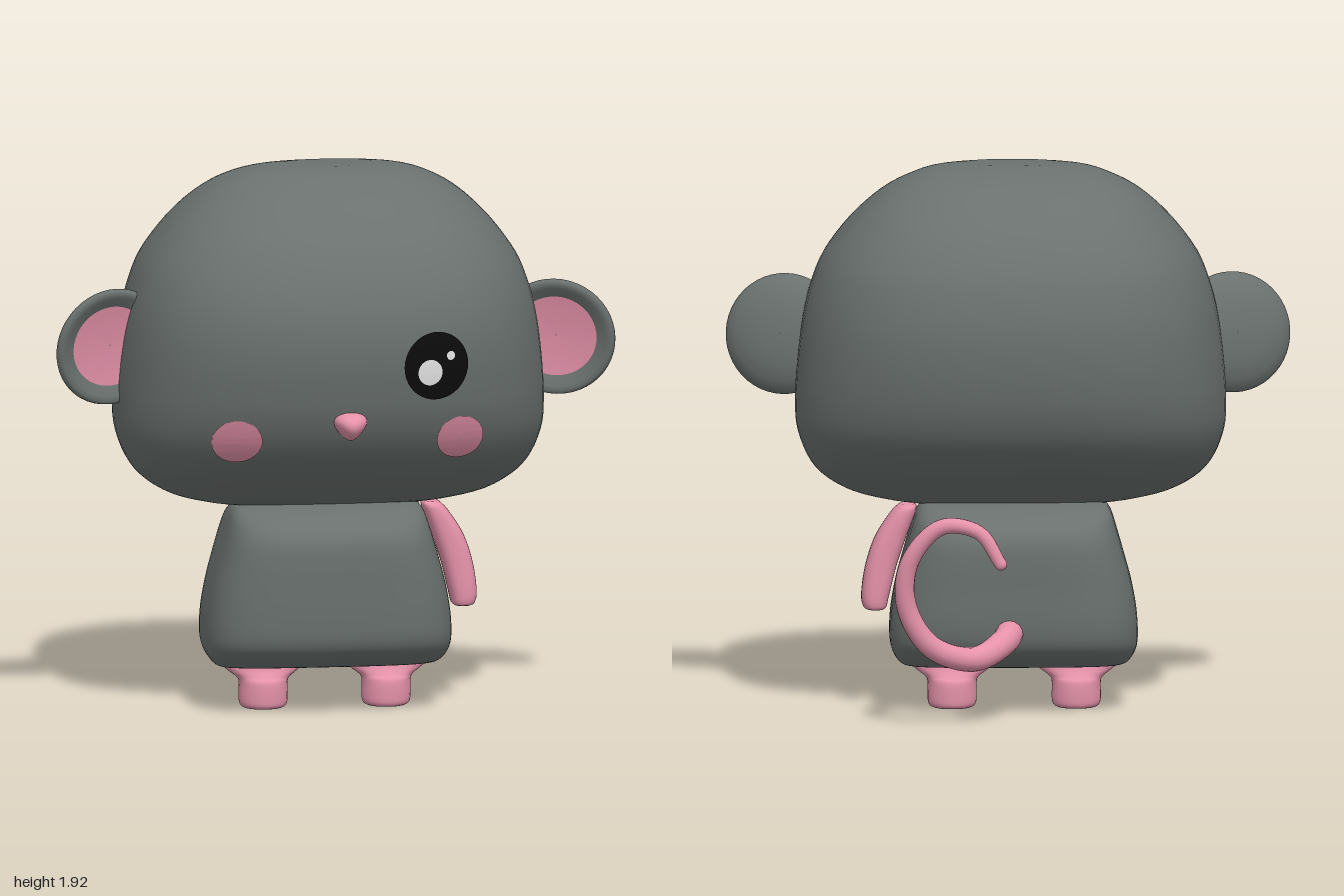
import * as THREE from 'three';

const mat = (name, color, side = THREE.FrontSide) =>
  Object.assign(new THREE.MeshStandardMaterial({ color, side }), { name });

// Smooth the sections [y, xMin, xMax, zBack, zFront] along their height
function smoothSections(keys, steps) {
  const xs = new THREE.CatmullRomCurve3(keys.map(k => new THREE.Vector3(k[0], k[1], k[2])), false, 'catmullrom', 0.5);
  const zs = new THREE.CatmullRomCurve3(keys.map(k => new THREE.Vector3(k[0], k[3], k[4])), false, 'catmullrom', 0.5);
  const out = [];
  for (let i = 0; i <= steps; i++) {
    const a = xs.getPoint(i / steps), b = zs.getPoint(i / steps);
    out.push([a.x, a.y, a.z, b.y, b.z]);
  }
  return out;
}

// Closed skin over superellipse sections stacked in y
function loft(sections, n, sides = 64) {
  const pos = [], index = [];
  const spow = v => Math.sign(v) * Math.pow(Math.abs(v), 2 / n);
  const ring = ([y, x0, x1, z0, z1], k) => {
    for (let j = 0; j < sides; j++) {
      const t = (j / sides) * Math.PI * 2;
      pos.push((x0 + x1) / 2 + k * (x1 - x0) / 2 * spow(Math.cos(t)), y,
        (z0 + z1) / 2 + k * (z1 - z0) / 2 * spow(Math.sin(t)));
    }
  };
  ring(sections[0], 0);
  sections.forEach(s => ring(s, 1));
  ring(sections[sections.length - 1], 0);
  for (let i = 0; i <= sections.length; i++) {
    for (let j = 0; j < sides; j++) {
      const a = i * sides + j, b = i * sides + (j + 1) % sides;
      const c = a + sides, d = b + sides;
      index.push(a, c, b, b, c, d);
    }
  }
  const g = new THREE.BufferGeometry();
  g.setAttribute('position', new THREE.Float32BufferAttribute(pos, 3));
  g.setIndex(index);
  g.computeVertexNormals();
  return g;
}

// Sections given as half width and back / front depth around a centre x
const wide = (cx, rows) => rows.map(([y, a, zb, zf]) => [y, cx - a, cx + a, zb, zf]);

const HEAD_N = 2.35;
const headSections = smoothSections(wide(-0.005, [
  [0.718, 0.32, -0.04, 0.03], [0.735, 0.43, -0.11, 0.1], [0.77, 0.56, -0.21, 0.2],
  [0.83, 0.66, -0.34, 0.31], [0.9, 0.715, -0.455, 0.42], [1.0, 0.75, -0.55, 0.51],
  [1.1, 0.755, -0.6, 0.56], [1.2, 0.75, -0.625, 0.585], [1.3, 0.74, -0.637, 0.6],
  [1.4, 0.725, -0.637, 0.6], [1.5, 0.7, -0.62, 0.58], [1.6, 0.66, -0.585, 0.535],
  [1.7, 0.59, -0.52, 0.465], [1.78, 0.515, -0.44, 0.375], [1.84, 0.44, -0.355, 0.29],
  [1.88, 0.365, -0.28, 0.215], [1.91, 0.28, -0.18, 0.14], [1.925, 0.16, -0.1, 0.07],
]), 60);

// Front depth of the head at (x, y)
function headZ(x, y) {
  const i = headSections.findIndex(s => s[0] > y);
  const p = headSections[i - 1], q = headSections[i];
  const f = (y - p[0]) / (q[0] - p[0]);
  const [, x0, x1, z0, z1] = p.map((v, k) => v + (q[k] - v) * f);
  const u = Math.abs((x - (x0 + x1) / 2) / ((x1 - x0) / 2));
  return (z0 + z1) / 2 + (z1 - z0) / 2 * Math.pow(1 - Math.pow(u, HEAD_N), 1 / HEAD_N);
}

// Thin disc that hugs the front of the head
function faceDisc(x, y, rx, ry, lift) {
  const g = new THREE.RingGeometry(0, 1, 40, 6);
  g.scale(rx, ry, 1).translate(x, y, 0);
  const p = g.attributes.position;
  for (let i = 0; i < p.count; i++) p.setZ(i, headZ(p.getX(i), p.getY(i)) + lift);
  g.computeVertexNormals();
  return g;
}

// Tapered tail curling up behind the body
function tailGeometry(path, r0, r1) {
  const N = 80, M = 16;
  const g = new THREE.TubeGeometry(path, N, 1, M, false);
  const p = g.attributes.position, v = new THREE.Vector3();
  for (let i = 0; i <= N; i++) {
    const c = path.getPointAt(i / N);
    const r = THREE.MathUtils.lerp(r0, r1, i / N);
    for (let j = 0; j <= M; j++) {
      const k = i * (M + 1) + j;
      v.fromBufferAttribute(p, k).sub(c).multiplyScalar(r).add(c);
      p.setXYZ(k, v.x, v.y, v.z);
    }
  }
  return g;
}

export function createModel() {
  const root = new THREE.Group();
  root.name = 'mouse';
  const fur = mat('grey fur', 0x6a716e);
  const pink = mat('pink skin', 0xe592aa);
  const black = mat('eye black', 0x0c0c0c, THREE.DoubleSide);
  const white = mat('eye shine', 0xf4f4f4, THREE.DoubleSide);
  const add = (name, geometry, material, parent = root) => {
    const m = new THREE.Mesh(geometry, material);
    m.name = name;
    parent.add(m);
    return m;
  };

  // Head and body
  add('head', loft(headSections, HEAD_N, 80), fur);
  add('body', loft(smoothSections(wide(-0.015, [
    [0.143, 0.33, -0.06, 0.03], [0.155, 0.385, -0.14, 0.11], [0.18, 0.412, -0.22, 0.19],
    [0.22, 0.43, -0.285, 0.255], [0.27, 0.435, -0.315, 0.285], [0.35, 0.43, -0.325, 0.293],
    [0.45, 0.412, -0.325, 0.295], [0.55, 0.385, -0.325, 0.295], [0.62, 0.365, -0.315, 0.285],
    [0.67, 0.35, -0.28, 0.25], [0.7, 0.338, -0.22, 0.19], [0.72, 0.32, -0.155, 0.125],
    [0.735, 0.28, -0.05, 0.02],
  ]), 48), 3.4), fur);

  // Ears: shallow bowls with a pink inside
  const bowl = [[0.001, -0.05], [0.06, -0.048], [0.12, -0.038], [0.17, -0.02], [0.2, 0.002],
    [0.212, 0.02], [0.208, 0.032], [0.197, 0.038], [0.18, 0.034], [0.145, 0.016]];
  const inside = [[0.145, 0.016], [0.08, 0.008], [0.001, 0.006]];
  const turn = pts => new THREE.LatheGeometry(pts.map(p => new THREE.Vector2(...p)), 48).rotateX(Math.PI / 2);
  for (const s of [1, -1]) {
    const ear = new THREE.Group();
    ear.name = s > 0 ? 'leftEar' : 'rightEar';
    ear.position.set(0.79 * s, 1.31, 0.07);
    ear.lookAt(0.79 * s - 0.28 * s, 1.31 - 0.16, 1.07);
    add('earShell', turn(bowl), fur, ear);
    add('earInside', turn(inside), pink, ear);
    root.add(ear);
  }

  // Face
  add('leftEye', faceDisc(0.295, 1.29, 0.117, 0.121, 0.005), black);
  add('eyeShineLarge', faceDisc(0.272, 1.268, 0.044, 0.046, 0.009), white);
  add('eyeShineSmall', faceDisc(0.347, 1.325, 0.015, 0.016, 0.009), white);
  add('leftCheek', faceDisc(0.393, 1.02, 0.086, 0.08, 0.005), pink);
  add('rightCheek', faceDisc(-0.397, 1.02, 0.086, 0.08, 0.005), pink);

  // Nose: a ball narrowed towards its bottom
  const nose = new THREE.SphereGeometry(1, 32, 24);
  const np = nose.attributes.position;
  for (let i = 0; i < np.count; i++) np.setX(i, np.getX(i) * (1 + 0.45 * np.getY(i)));
  nose.scale(0.054, 0.05, 0.085).rotateX(-0.15).translate(-0.008, 1.08, 0.555);
  nose.computeVertexNormals();
  add('nose', nose, pink);

  // Single arm on the left side
  add('leftArm', loft(smoothSections([
    [0.348, 0.44, 0.498, -0.065, 0.035], [0.358, 0.43, 0.512, -0.08, 0.05],
    [0.4, 0.42, 0.519, -0.085, 0.055], [0.5, 0.395, 0.505, -0.085, 0.055],
    [0.6, 0.362, 0.472, -0.085, 0.055], [0.68, 0.332, 0.422, -0.085, 0.055],
    [0.71, 0.325, 0.395, -0.08, 0.05], [0.72, 0.33, 0.38, -0.06, 0.03],
  ], 32), 2.6, 32), pink);

  // Feet, flaring sideways where they meet the body
  for (const [name, x] of [['leftFoot', 0.2], ['rightFoot', -0.235]]) {
    add(name, loft(smoothSections(wide(x, [
      [0, 0.068, -0.083, 0.053], [0.008, 0.08, -0.095, 0.065], [0.03, 0.086, -0.1, 0.07],
      [0.09, 0.086, -0.1, 0.07], [0.11, 0.096, -0.085, 0.055],
      [0.13, 0.122, -0.072, 0.042], [0.15, 0.142, -0.065, 0.035], [0.17, 0.145, -0.06, 0.03],
    ]), 30), 2, 32), pink);
  }

  // Tail
  const path = new THREE.CatmullRomCurve3([
    [0, 0.31, -0.27], [0.03, 0.28, -0.39], [0.14, 0.235, -0.485], [0.29, 0.29, -0.53],
    [0.375, 0.44, -0.553], [0.36, 0.6, -0.575], [0.25, 0.72, -0.595],
    [0.12, 0.7, -0.607], [0.045, 0.59, -0.615],
  ].map(p => new THREE.Vector3(...p)));
  add('tail', tailGeometry(path, 0.05, 0.022), pink);
  add('tailTip', new THREE.SphereGeometry(0.022, 16, 12).translate(0.045, 0.59, -0.615), pink);

  return root;
}
